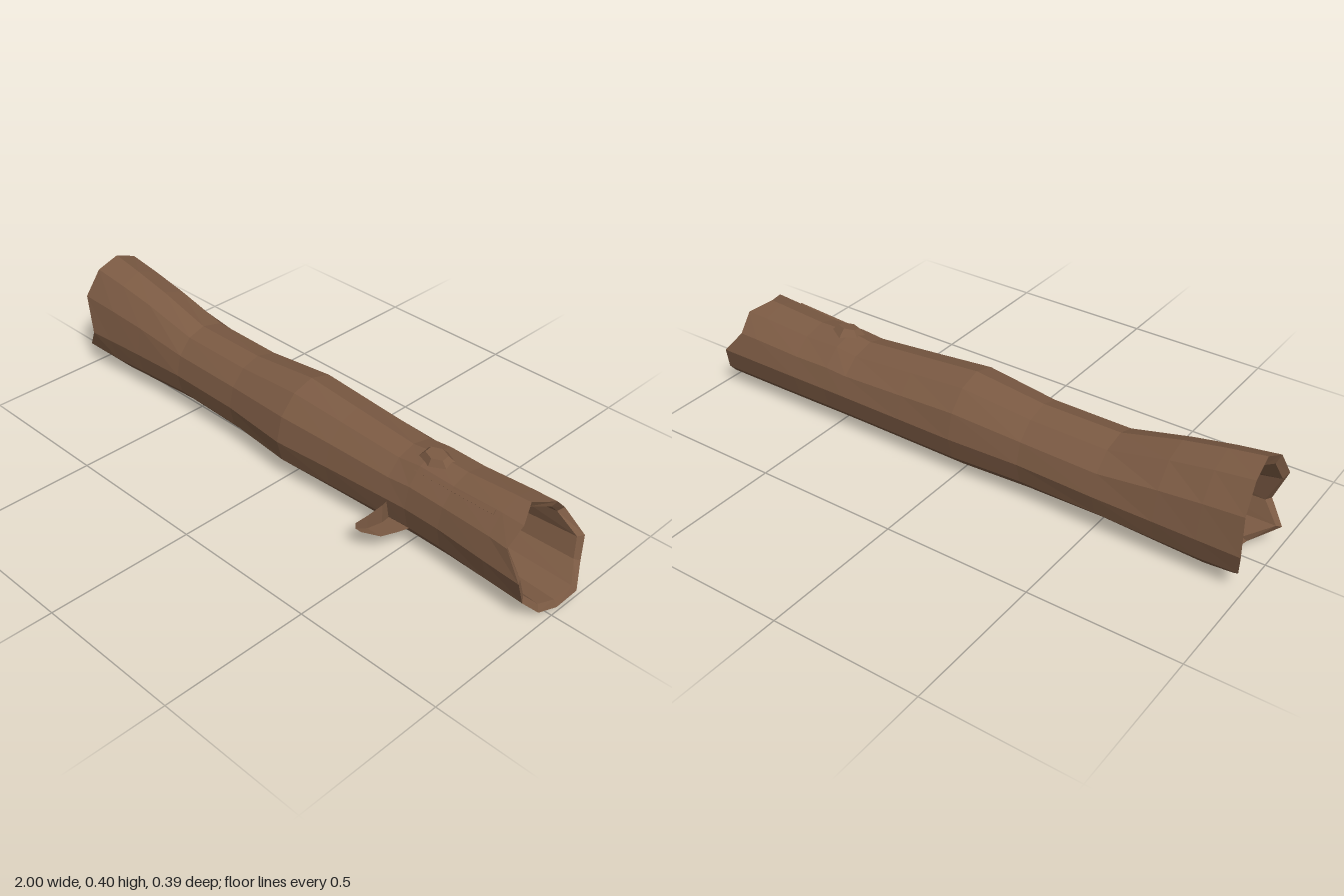
import * as THREE from 'three';

const SIDES = 12, MID_Y = 0.157, MID_Z = -0.038;

// Faceted skin through rings of points, wound so that faces look outward along +x order
function loft(rings) {
  const pos = [];
  for (let i = 0; i < rings.length - 1; i++) {
    const n = rings[i].length;
    for (let k = 0; k < n; k++) {
      const a = rings[i][k], b = rings[i + 1][k];
      const c = rings[i][(k + 1) % n], d = rings[i + 1][(k + 1) % n];
      for (const p of [a, b, c, c, b, d]) pos.push(...p);
    }
  }
  const g = new THREE.BufferGeometry();
  g.setAttribute('position', new THREE.Float32BufferAttribute(pos, 3));
  g.computeVertexNormals();
  return g;
}

// Ring starting at the front, going over the top; x is a number or one value per corner
function ring(x, bottom, top, back, front, scale = 1) {
  return Array.from({ length: SIDES }, (_, k) => {
    const a = (k / SIDES) * Math.PI * 2, c = Math.cos(a), s = Math.sin(a);
    const ry = s > 0 ? top - MID_Y : MID_Y - bottom;
    const rz = c > 0 ? front - MID_Z : MID_Z - back;
    return [Array.isArray(x) ? x[k] : x, MID_Y + s * ry * scale, MID_Z + c * rz * scale];
  });
}

export function createModel() {
  const log = new THREE.Group();
  log.name = 'hollowLog';
  const bark = new THREE.MeshStandardMaterial({ color: 0x7b5a43 });
  bark.flatShading = true;
  const add = (name, geometry) => {
    const m = new THREE.Mesh(geometry, bark);
    m.name = name;
    log.add(m);
    return m;
  };

  // Broken edges, one x per corner
  const leftEdge = [-0.95, -1, -0.99, -0.98, -0.985, -0.99, -1, -0.99, -0.95, -0.89, -0.92, -1];
  const rightEdge = [0.955, 0.89, 0.9, 0.865, 0.9, 0.89, 0.955, 0.965, 1, 0.99, 0.98, 0.96];
  const leftRim = [0.01, 0.4, -0.195, 0.112];
  const rightRim = [0.002, 0.31, -0.193, 0.114];

  // Bark: x, bottom, top, back, front
  const sections = [
    [-0.86, 0.002, 0.38, -0.194, 0.105],
    [-0.72, 0.008, 0.352, -0.193, 0.096],
    [-0.52, 0.018, 0.3, -0.192, 0.086],
    [-0.25, 0.011, 0.3, -0.184, 0.091],
    [0, 0.002, 0.328, -0.194, 0.116],
    [0.2, 0.003, 0.31, -0.193, 0.102],
    [0.43, 0.004, 0.29, -0.192, 0.089],
    [0.51, 0.004, 0.3, -0.192, 0.085],
    [0.64, 0.003, 0.296, -0.193, 0.088],
    [0.82, 0.002, 0.308, -0.193, 0.104],
  ];
  add('bark', loft([ring(leftEdge, ...leftRim), ...sections.map((s) => ring(...s)), ring(rightEdge, ...rightRim)]));

  // Hollow ends: rim, tapering inner wall and closed bottom
  const core = [0.04, 0.275, -0.155, 0.08];
  const leftInner = leftEdge.map((x) => x + 0.012), rightInner = rightEdge.map((x) => x - 0.012);
  add('leftHollow', loft([
    ring(-0.68, ...core, 0.001), ring(-0.72, ...core),
    ring(leftInner, ...leftRim, 0.86), ring(leftEdge, ...leftRim),
  ]));
  add('rightHollow', loft([
    ring(rightEdge, ...rightRim), ring(rightInner, ...rightRim, 0.86),
    ring(0.72, ...core), ring(0.68, ...core, 0.001),
  ]));

  // Broken branch stub, bent toward the left end of the log
  const square = (x, y, z, w, h) => [[x - w, y - h, z], [x + w, y - h, z], [x + w, y + h, z], [x - w, y + h, z]];
  add('branchStub', loft([
    square(0.478, 0.114, 0.05, 0.042, 0.038),
    square(0.475, 0.112, 0.105, 0.032, 0.033),
    square(0.46, 0.105, 0.158, 0.027, 0.024),
    square(0.428, 0.1, 0.193, 0.012, 0.01),
    square(0.428, 0.1, 0.193, 0.0005, 0.0005),
  ]));

  // Low knot on top
  const knot = add('knot', new THREE.CylinderGeometry(0.035, 0.085, 0.05, 6));
  knot.scale.set(1.1, 1, 0.75);
  knot.rotation.x = 0.15;
  knot.position.set(0.53, 0.286, -0.03);

  // Long raised ridges of bark
  const ridge = (x0, x1, y, z, tilt) => {
    const m = add('barkRidge', new THREE.CylinderGeometry(0.012, 0.012, 1, 4).rotateZ(Math.PI / 2));
    const taper = m.geometry.attributes.position;
    for (let i = 0; i < taper.count; i++) if (taper.getX(i) < 0) taper.setXYZ(i, -0.5, taper.getY(i) * 0.2, taper.getZ(i) * 0.2);
    m.scale.x = x1 - x0;
    m.rotation.z = tilt;
    m.position.set((x0 + x1) / 2, y, z);
  };
  ridge(0.5, 0.8, 0.272, 0.035, 0.03);

  return log;
}
